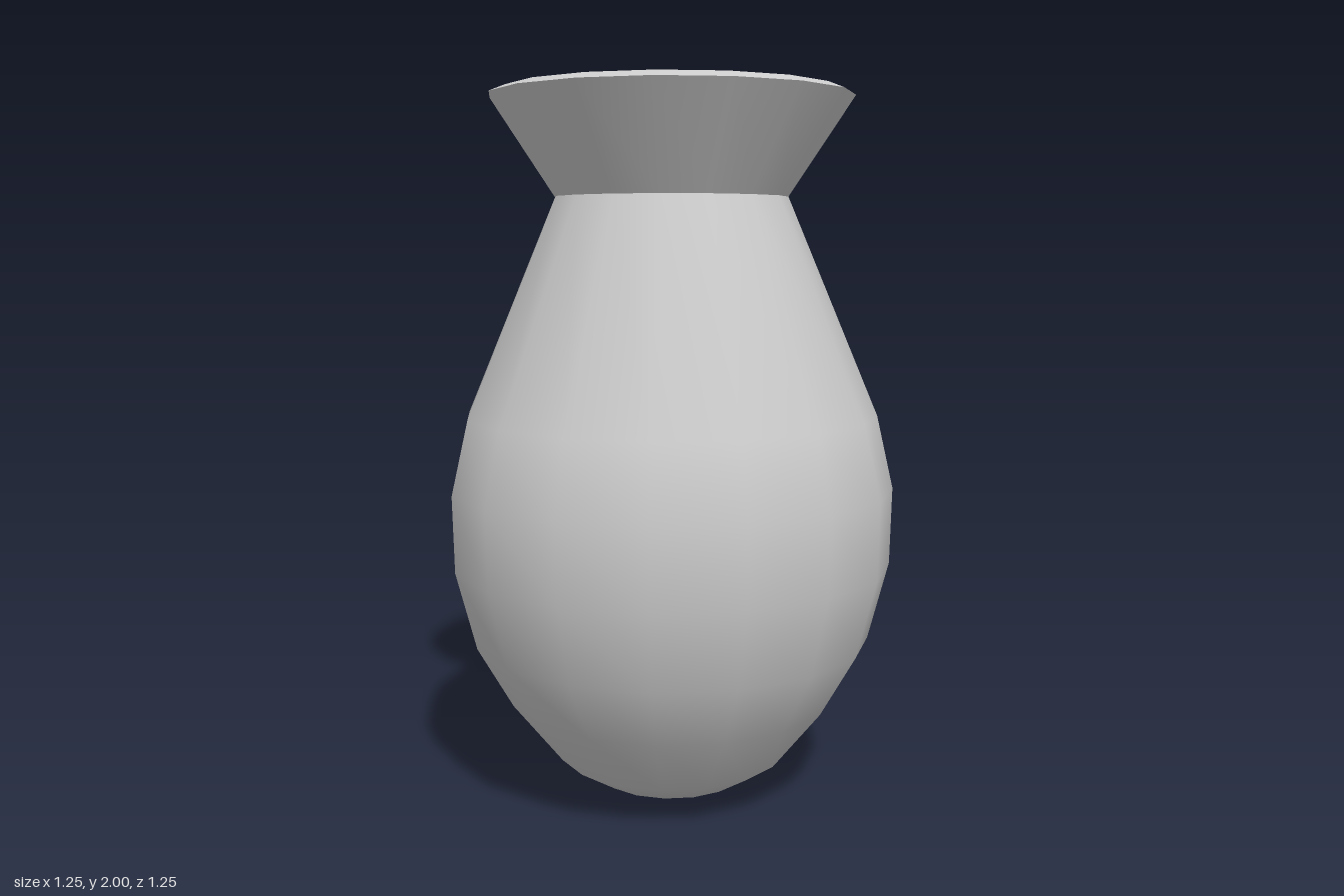
import * as THREE from 'three';

const SIDES = 16;

export function createModel() {
  const vase = new THREE.Group();
  vase.name = 'vase';
  const material = new THREE.MeshStandardMaterial({ color: 0xcccccc });

  // Turns a profile of [radius, height] pairs; upward profiles face out, downward ones face in
  const turn = (name, profile) => {
    const points = profile.map(([r, y]) => new THREE.Vector2(r, y));
    const mesh = new THREE.Mesh(new THREE.LatheGeometry(points, SIDES), material);
    mesh.name = name;
    vase.add(mesh);
  };

  // Corners shared by neighbouring parts, kept as sharp edges
  const neck = [0.325, 1.71];
  const rimOuter = [0.505, 1.982];
  const rimInner = [0.46, 2];

  // Rounded belly rising to the neck
  turn('body', [
    [0, 0], [0.21, 0.045], [0.325, 0.115], [0.465, 0.29], [0.565, 0.465],
    [0.622, 0.685], [0.627, 0.9], [0.58, 1.105], neck,
  ]);

  // Flared collar and its bevelled lip
  turn('collar', [neck, rimOuter]);
  turn('rim', [rimOuter, rimInner]);

  // Hollow inside, following the outer wall at an even thickness
  turn('interior', [
    rimInner, [0.277, 1.715], [0.53, 1.09], [0.575, 0.89], [0.57, 0.695],
    [0.52, 0.485], [0.425, 0.32], [0.295, 0.155], [0.195, 0.095], [0, 0.05],
  ]);

  return vase;
}
